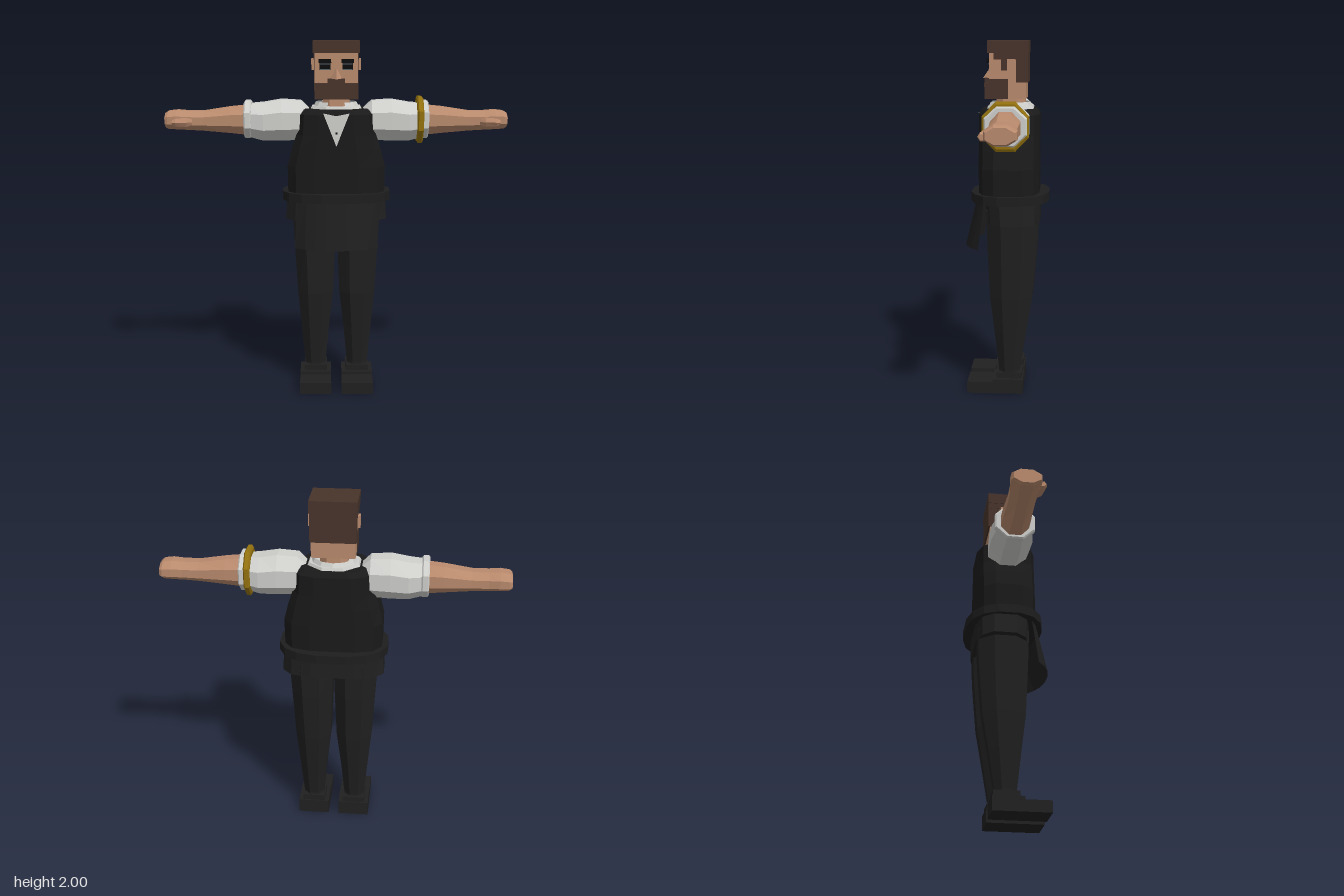
import * as THREE from 'three';

const mat = (name, color, side = THREE.FrontSide) => {
  const m = new THREE.MeshStandardMaterial({ color, side });
  m.name = name;
  return m;
};

// Ring of n points with half sizes hx, hz; e < 1 makes it boxier
function ring(n, e, y, cx, cz, hx, hz) {
  const off = Math.PI / n, s = Math.cos(off) ** e;
  return Array.from({ length: n }, (_, i) => {
    const a = off + (i * 2 * Math.PI) / n, c = Math.cos(a), d = Math.sin(a);
    return [
      cx + (hx * Math.sign(c) * Math.abs(c) ** e) / s, y,
      cz + (hz * Math.sign(d) * Math.abs(d) ** e) / s];
  });
}

// Faceted, capped solid through sections [y, cx, cz, hx, hz]
function loft(sections, n = 8, e = 1) {
  const rings = sections.map((s) => ring(n, e, ...s)), p = [];
  const mid = (s) => [s[1], s[0], s[2]];
  const first = mid(sections[0]), last = mid(sections[sections.length - 1]);
  for (let j = 0; j < n; j++) {
    const k = (j + 1) % n;
    for (let i = 0; i + 1 < rings.length; i++) {
      const [r, u] = [rings[i], rings[i + 1]];
      p.push(...r[j], ...u[j], ...r[k], ...r[k], ...u[j], ...u[k]);
    }
    const t = rings[rings.length - 1];
    p.push(...first, ...rings[0][j], ...rings[0][k], ...last, ...t[k], ...t[j]);
  }
  const g = new THREE.BufferGeometry();
  g.setAttribute('position', new THREE.Float32BufferAttribute(p, 3));
  g.computeVertexNormals();
  return g;
}

// Sideways solid; sections are [distance from centre, yTop, yBottom, zFront, zBack]
function limb(side, sections, n = 8) {
  const g = loft(sections.map(([t, y1, y0, z1, z0]) =>
    [t, (-side * (y1 + y0)) / 2, (z1 + z0) / 2, (y1 - y0) / 2, (z1 - z0) / 2]), n);
  return g.rotateZ((-side * Math.PI) / 2);
}

// Box from its extents
const box = (x0, x1, y0, y1, z0, z1) =>
  new THREE.BoxGeometry(x1 - x0, y1 - y0, z1 - z0)
    .translate((x0 + x1) / 2, (y0 + y1) / 2, (z0 + z1) / 2);

export function createModel() {
  const model = new THREE.Group();
  model.name = 'bartender';
  const skin = mat('skin', 0xb98a6d);
  const hair = mat('hair brown', 0x48342b);
  const white = mat('shirt white', 0xcfd0cc, THREE.DoubleSide);
  const vestBlack = mat('vest black', 0x1a1a1a);
  const cloth = mat('apron black', 0x1e1e1e, THREE.DoubleSide);
  const trouser = mat('trouser black', 0x202020);
  const gold = mat('gold', 0x94720f);
  const eyeBlack = mat('eye black', 0x0c0c0e);
  const eyeGrey = mat('eye grey', 0x56606a);

  const add = (name, geometry, material, parent = model) => {
    const m = new THREE.Mesh(geometry, material);
    m.name = name;
    parent.add(m);
    return m;
  };

  // Vest and hips
  add('vest', loft([
    [1.12, 0, -0.015, 0.272, 0.17], [1.3, 0, -0.015, 0.275, 0.17],
    [1.4, 0, -0.015, 0.25, 0.17], [1.48, 0, -0.015, 0.224, 0.17],
    [1.595, 0, -0.015, 0.217, 0.17], [1.622, 0, -0.015, 0.175, 0.155],
  ], 12, 0.6), vestBlack);
  add('hips', loft([
    [0.99, 0, -0.04, 0.287, 0.15], [1.13, 0, -0.035, 0.278, 0.155],
  ], 12, 0.65), trouser);
  add('belt', loft([
    [1.105, 0, -0.02, 0.305, 0.22], [1.155, 0, -0.02, 0.305, 0.22],
  ], 16, 0.8), cloth);

  // Curved apron hanging forward from the belt
  const apron = new THREE.PlaneGeometry(2, 1, 8, 1);
  const ap = apron.attributes.position;
  for (let i = 0; i < ap.count; i++) {
    const u = ap.getX(i), low = 0.5 - ap.getY(i);
    ap.setXYZ(i, u * (0.222 + 0.013 * low), 1.12 - 0.275 * low,
      0.172 + 0.066 * low - (0.055 + 0.03 * low) * Math.abs(u) ** 2.5);
  }
  const apronFlat = apron.toNonIndexed();
  apronFlat.computeVertexNormals();
  add('apron', apronFlat, cloth);

  // Shirt front, collar and buttons
  const vee = new THREE.Shape([[-0.073, 1.605], [0, 1.42], [0.073, 1.605], [0, 1.59]]
    .map(([x, y]) => new THREE.Vector2(x, y)));
  add('shirtFront', new THREE.ShapeGeometry(vee).translate(0, 0, 0.158), white);
  add('shirtYoke', loft([
    [1.6, 0, -0.018, 0.155, 0.138], [1.637, 0, -0.018, 0.135, 0.125]]), white);
  const collar = new THREE.CylinderGeometry(0.115, 0.145, 0.055, 10, 1, true, 0.4, Math.PI * 2 - 0.8)
    .toNonIndexed();
  collar.computeVertexNormals();
  add('collar', collar, white).position.set(0, 1.632, -0.015);
  add('shirtButton', box(-0.006, 0.006, 1.489, 1.501, 0.157, 0.162), eyeBlack);
  for (let i = 0; i < 6; i++) {
    const y = 1.18 + i * 0.044;
    add('vestButton', box(-0.007, 0.007, y, y + 0.014, 0.15, 0.164), vestBlack);
  }

  for (const s of [-1, 1]) {
    // Arm
    const arm = new THREE.Group();
    arm.name = s > 0 ? 'leftArm' : 'rightArm';
    model.add(arm);
    add('sleeve', limb(s, [
      [0.13, 1.6, 1.47, 0.06, -0.1], [0.2, 1.665, 1.445, 0.09, -0.13],
      [0.31, 1.672, 1.44, 0.095, -0.138], [0.41, 1.655, 1.44, 0.095, -0.138],
      [0.49, 1.648, 1.46, 0.08, -0.12]]), white, arm);
    add('cuff', limb(s, [
      [0.478, 1.655, 1.463, 0.085, -0.125], [0.486, 1.665, 1.455, 0.093, -0.132],
      [0.513, 1.665, 1.455, 0.093, -0.132], [0.52, 1.655, 1.463, 0.085, -0.125]]), white, arm);
    add('forearm', limb(s, [
      [0.5, 1.64, 1.472, 0.058, -0.1], [0.6, 1.63, 1.482, 0.055, -0.1],
      [0.75, 1.607, 1.495, 0.05, -0.095], [0.84, 1.607, 1.5, 0.052, -0.097],
      [0.9, 1.612, 1.503, 0.058, -0.106], [0.95, 1.606, 1.506, 0.056, -0.105],
      [0.966, 1.595, 1.515, 0.048, -0.095]]), skin, arm);
    add('thumb', limb(s, [
      [0.81, 1.565, 1.53, 0.055, 0.03], [0.84, 1.572, 1.522, 0.078, 0.03],
      [0.9, 1.568, 1.525, 0.086, 0.04], [0.92, 1.56, 1.532, 0.08, 0.045]], 6), skin, arm);

    // Leg and shoe
    const leg = new THREE.Group();
    leg.name = s > 0 ? 'leftLeg' : 'rightLeg';
    model.add(leg);
    add('trouserLeg', loft([
      [0.08, s * 0.122, -0.02, 0.06, 0.06], [0.13, s * 0.122, -0.02, 0.06, 0.06],
      [0.35, s * 0.122, -0.025, 0.08, 0.09], [0.56, s * 0.12, -0.03, 0.102, 0.12],
      [0.85, s * 0.123, -0.035, 0.116, 0.138], [1.06, s * 0.126, -0.035, 0.126, 0.145],
    ]), trouser, leg);
    const c = s * 0.12;
    add('shoe', box(c - 0.09, c + 0.09, 0, 0.066, -0.1, 0.22), trouser, leg);
    add('shoeHeel', box(c - 0.09, c + 0.09, 0.06, 0.084, -0.1, 0.075), trouser, leg);
    add('trouserHem', box(c - 0.066, c + 0.066, 0.08, 0.118, -0.092, 0.052), trouser, leg);
  }

  // Gold sleeve garter on the left arm only
  add('armBand', limb(1, [
    [0.454, 1.675, 1.44, 0.095, -0.13], [0.462, 1.687, 1.427, 0.106, -0.142],
    [0.483, 1.687, 1.427, 0.106, -0.142], [0.491, 1.675, 1.44, 0.095, -0.13]]), gold);

  // Head
  const head = new THREE.Group();
  head.name = 'head';
  model.add(head);
  add('neck', loft([
    [1.58, 0, -0.02, 0.08, 0.085], [1.7, 0, -0.02, 0.074, 0.08]], 8, 0.8), skin, head);
  add('skull', box(-0.12, 0.12, 1.68, 1.95, -0.11, 0.095), skin, head);
  add('hairTop', box(-0.13, 0.13, 1.932, 2, -0.122, 0.106), hair, head);
  add('hairBack', box(-0.126, 0.126, 1.77, 1.94, -0.121, -0.055), hair, head);
  add('beard', box(-0.122, 0.122, 1.68, 1.767, -0.01, 0.122), hair, head);
  add('moustache', box(-0.048, 0.048, 1.76, 1.792, 0.09, 0.128), hair, head);
  for (const s of [-1, 1]) {
    const side = (name, x0, x1, y0, y1, z0, z1, m) =>
      add(name, box(Math.min(s * x0, s * x1), Math.max(s * x0, s * x1), y0, y1, z0, z1), m, head);
    side('hairSide', 0.1, 0.127, 1.895, 1.94, -0.11, 0.07, hair);
    side('sideburn', 0.1, 0.124, 1.835, 1.9, -0.005, 0.03, hair);
    side('cheekBeard', 0.1, 0.124, 1.76, 1.79, -0.01, 0.095, hair);
    side('ear', 0.11, 0.14, 1.835, 1.9, -0.048, -0.006, skin);
    side('eye', 0.033, 0.092, 1.84, 1.9, 0.094, 0.1, eyeBlack);
    side('eyebrow', 0.028, 0.097, 1.877, 1.9, 0.094, 0.11, eyeBlack);
    side('eyelid', 0.035, 0.09, 1.869, 1.875, 0.099, 0.103, eyeGrey);
    side('lowerLid', 0.035, 0.09, 1.841, 1.846, 0.099, 0.103, eyeGrey);
  }

  // Wedge nose: narrow at the bridge, wide and forward at the tip
  const nose = new THREE.CylinderGeometry(0.003, 0.04, 0.06, 4).toNonIndexed();
  nose.scale(0.85, 1, 1.15);
  nose.computeVertexNormals();
  add('nose', nose, skin, head).position.set(0, 1.82, 0.094);
  return model;
}
